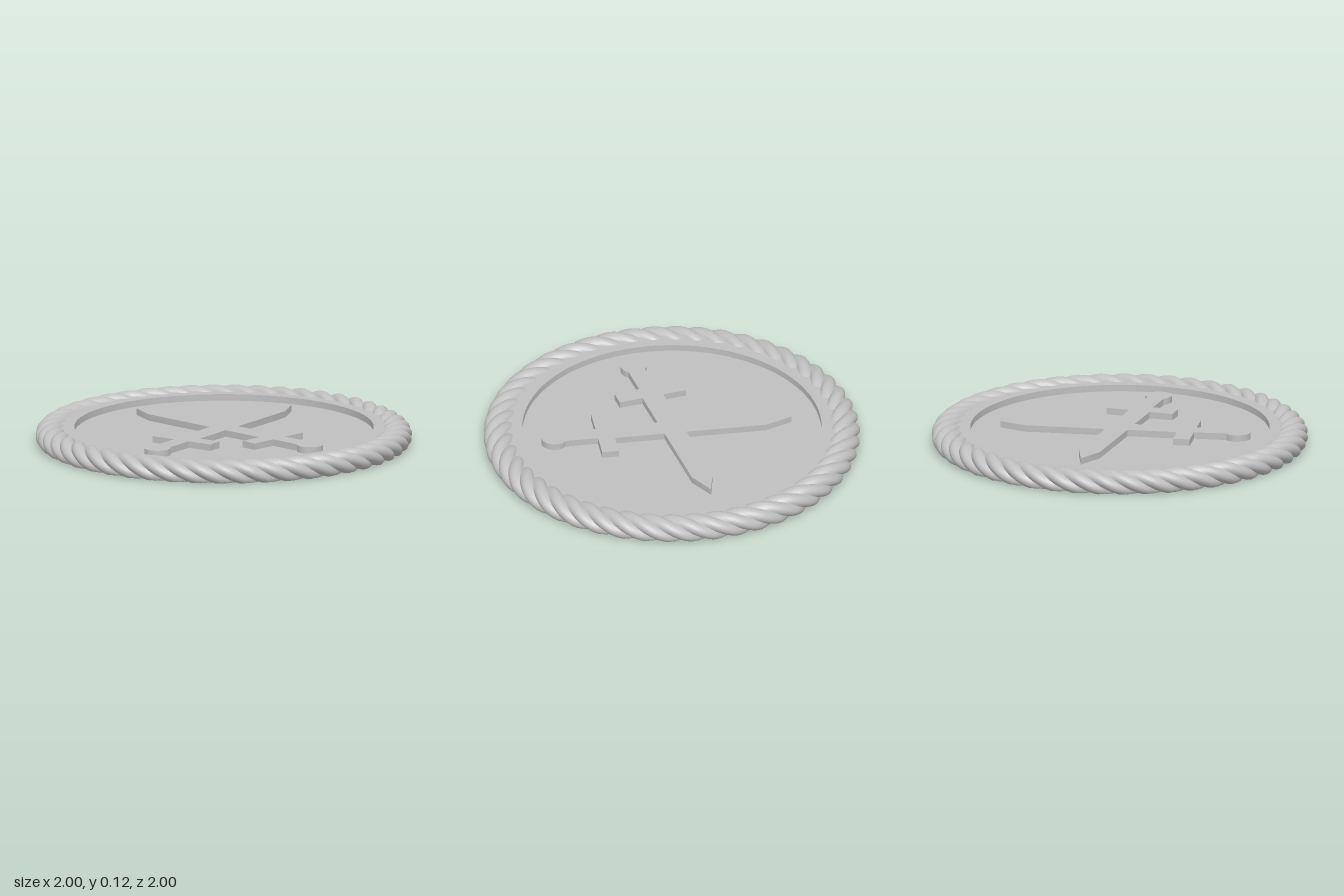
import * as THREE from 'three';
import { toCreasedNormals } from 'three/addons/utils/BufferGeometryUtils.js';

const RIM_Y = 0.095, FLOOR_Y = 0.06;

// Round plate with a sunken floor
function plateGeometry() {
  const profile = [[0, 0], [0.9, 0], [0.9, RIM_Y], [0.795, RIM_Y], [0.795, FLOOR_Y], [0, FLOOR_Y]]
    .map(([r, y]) => new THREE.Vector2(r, y));
  return toCreasedNormals(new THREE.LatheGeometry(profile, 128), 0.5);
}

// Four overlapping round strands twisted along a ring, flattened underneath
function ropeGeometry() {
  const strands = 4, turns = 12, steps = 480, sides = 32;
  const ringR = 0.915, centreY = 0.05, offset = 0.04, strandR = 0.045, squash = 0.82;
  const sector = (Math.PI * 2) / strands;
  const positions = [], index = [];
  for (let i = 0; i < steps; i++) {
    const theta = (i / steps) * Math.PI * 2;
    for (let j = 0; j < sides; j++) {
      const psi = (j / sides) * Math.PI * 2;
      const a = (psi % sector) - sector / 2;
      const r = offset * Math.cos(a) + Math.sqrt(strandR ** 2 - (offset * Math.sin(a)) ** 2);
      const phi = psi - turns * theta;
      const radius = ringR + r * Math.cos(phi);
      const y = Math.max(0, centreY + r * squash * Math.sin(phi));
      positions.push(radius * Math.sin(theta), y, radius * Math.cos(theta));
      const i2 = (i + 1) % steps, j2 = (j + 1) % sides;
      const p = i * sides + j, q = i2 * sides + j, s = i2 * sides + j2, t = i * sides + j2;
      index.push(p, q, s, p, s, t);
    }
  }
  const geo = new THREE.BufferGeometry();
  geo.setAttribute('position', new THREE.Float32BufferAttribute(positions, 3));
  geo.setIndex(index);
  return toCreasedNormals(geo, 0.7);
}

// Flat sword outline pointing along +y, raised from the floor
function swordGeometry() {
  const blade = 0.058, grip = 0.046, guard = 0.185, pommelR = 0.07, pommelY = -0.632;
  const half = [[blade, 0.497], [blade, -0.315], [guard, -0.315], [guard, -0.405], [grip, -0.405]];
  const shape = new THREE.Shape();
  shape.moveTo(0, 0.642);
  [...half].reverse();
  half.forEach(([x, y]) => shape.lineTo(x, y));
  const a = Math.acos(grip / pommelR);
  shape.absarc(0, pommelY, pommelR, a, Math.PI - a, true);
  half.slice().reverse().forEach(([x, y]) => shape.lineTo(-x, y));
  shape.closePath();
  const geo = new THREE.ExtrudeGeometry(shape, {
    depth: RIM_Y - FLOOR_Y + 0.005, bevelEnabled: false, curveSegments: 24,
  });
  geo.rotateX(-Math.PI / 2);
  return toCreasedNormals(geo, 0.5);
}

export function createModel() {
  const group = new THREE.Group();
  group.name = 'medallion';
  const grey = new THREE.MeshStandardMaterial({ color: 0xbfbfbf });
  grey.name = 'light grey';

  const add = (name, geometry) => {
    const mesh = new THREE.Mesh(geometry, grey);
    mesh.name = name;
    group.add(mesh);
    return mesh;
  };

  add('plate', plateGeometry());
  add('ropeBorder', ropeGeometry());

  // Crossed swords
  const sword = swordGeometry();
  for (const [name, side] of [['leftSword', 1], ['rightSword', -1]]) {
    const mesh = add(name, sword);
    mesh.position.y = FLOOR_Y - 0.005;
    mesh.rotation.y = -side * 0.7;
  }
  return group;
}
